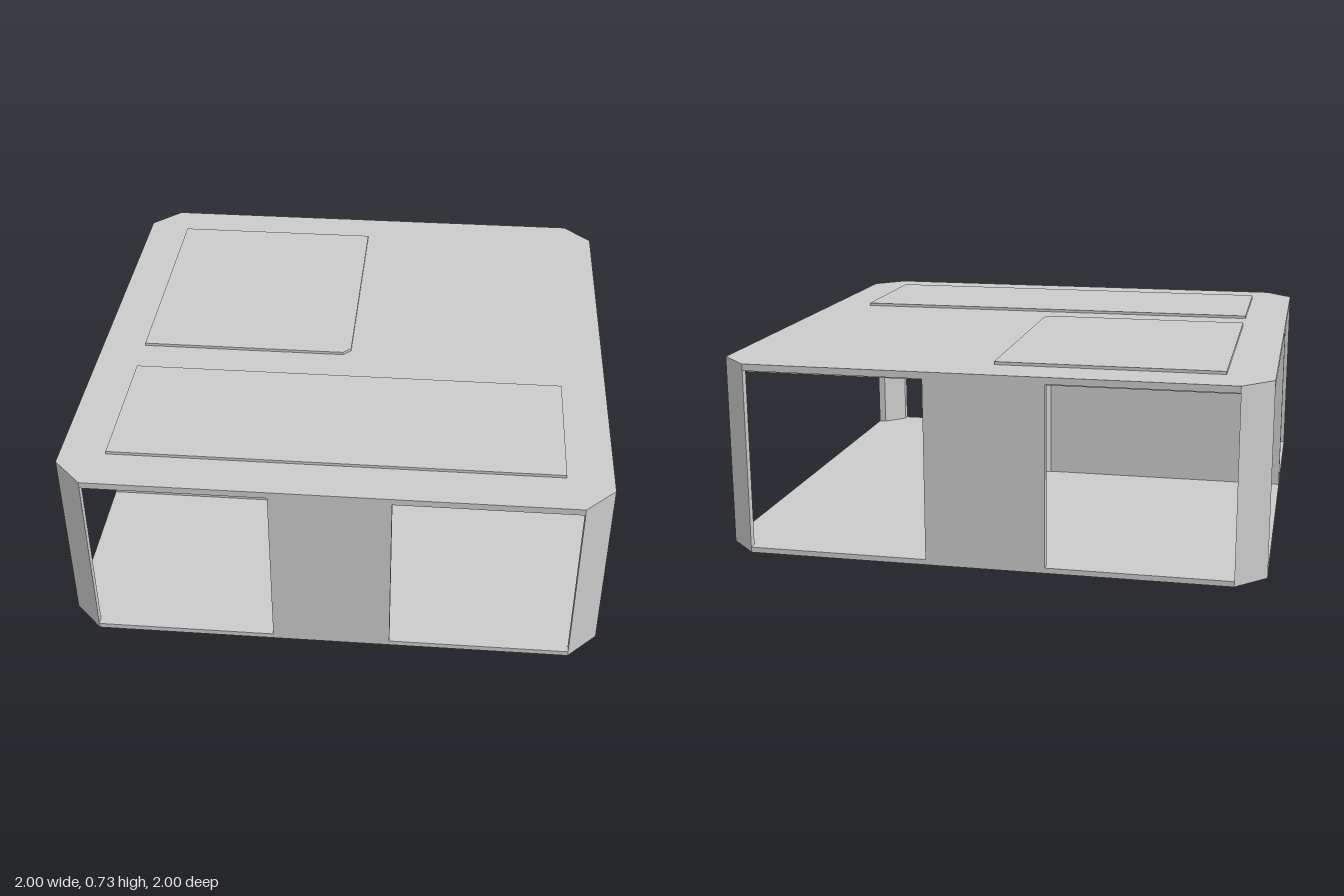
import * as THREE from 'three';

const H = 0.715, FLOOR = 0.02, ROOF = 0.69, CEIL = 0.68, T = 0.03;

export function createModel() {
  const model = new THREE.Group();
  const mat = new THREE.MeshStandardMaterial({ color: 0xcccccc, flatShading: true });

  const add = (name, geo) => {
    const mesh = new THREE.Mesh(geo, mat);
    mesh.name = name;
    model.add(mesh);
    return mesh;
  };
  const vectors = (pts, sign) => pts.map(([a, b]) => new THREE.Vector2(sign[0] * a, sign[1] * b));

  // Plan outline [x, z] raised from y0 to y1
  const raise = (name, pts, y0, y1, holes = []) => {
    const shape = new THREE.Shape(vectors(pts, [1, -1]));
    holes.forEach(h => shape.holes.push(new THREE.Path(vectors(h, [1, -1]))));
    const geo = new THREE.ExtrudeGeometry(shape, { depth: y1 - y0, bevelEnabled: false });
    geo.rotateX(-Math.PI / 2).translate(0, y0, 0);
    return add(name, geo);
  };
  // Side outline [z, y] extruded from x0 to x1
  const extrudeX = (name, pts, x0, x1) => {
    const geo = new THREE.ExtrudeGeometry(new THREE.Shape(vectors(pts, [-1, 1])),
      { depth: x1 - x0, bevelEnabled: false });
    geo.rotateY(Math.PI / 2).translate(x0, 0, 0);
    return add(name, geo);
  };
  const octagon = (r, c) => [[c, r], [r, c], [r, -c], [c, -r], [-c, -r], [-r, -c], [-r, c], [-c, r]];
  const rect = (x0, x1, z0, z1) => [[x0, z0], [x1, z0], [x1, z1], [x0, z1]];

  // Roof panels: a long one in front, one over the room with a clipped corner
  const longPanel = rect(-0.83, 0.83, 0.28, 0.83);
  const roomPanel = [[-0.83, -0.83], [0, -0.83], [0, 0.09], [-0.03, 0.12], [-0.83, 0.12]];

  // Floor, roof and inner ceiling with shallow recesses
  raise('floor', octagon(1, 0.89), 0, FLOOR);
  raise('roof', octagon(1, 0.89), ROOF, H);
  raise('ceiling', octagon(0.97, 0.88), CEIL, ROOF, [longPanel, roomPanel]);
  raise('frontRoofPanel', longPanel, H, 0.726);
  raise('roomRoofPanel', roomPanel, H, 0.726);

  // Diagonal corner posts
  for (const sx of [-1, 1]) for (const sz of [-1, 1]) {
    const plan = [[0.89, 1], [1, 0.89], [1 - T, 0.89], [0.89, 1 - T]];
    raise('cornerPost', plan.map(([x, z]) => [x * sx, z * sz]), FLOOR, ROOF);
  }

  // Centre walls at the front and back
  raise('frontWall', rect(-0.22, 0.22, 1 - T, 1), FLOOR, ROOF);
  raise('backWall', rect(-0.22, 0.22, -1, T - 1), FLOOR, ROOF);

  // Inner room: front wall with a chamfered corner
  raise('roomFrontWall', [[-1, 0.22], [0, 0.22], [0.11, 0.12], [0.08, 0.12],
    [-0.01, 0.19], [-1, 0.19]], FLOOR, ROOF);

  // Inner room: side wall with a doorway
  extrudeX('roomSideWall', [[0.12, FLOOR], [0.12, ROOF], [T - 1, ROOF], [T - 1, FLOOR],
    [-0.49, FLOOR], [-0.49, 0.34], [-0.26, 0.34], [-0.26, FLOOR]], 0.08, 0.11);

  // Door frame with clipped top corners
  extrudeX('doorFrame', [[-0.24, FLOOR], [-0.24, 0.34], [-0.255, 0.355], [-0.495, 0.355],
    [-0.51, 0.34], [-0.51, FLOOR], [-0.488, FLOOR], [-0.488, 0.338], [-0.262, 0.338],
    [-0.262, FLOOR]], 0.07, 0.12);

  return model;
}
